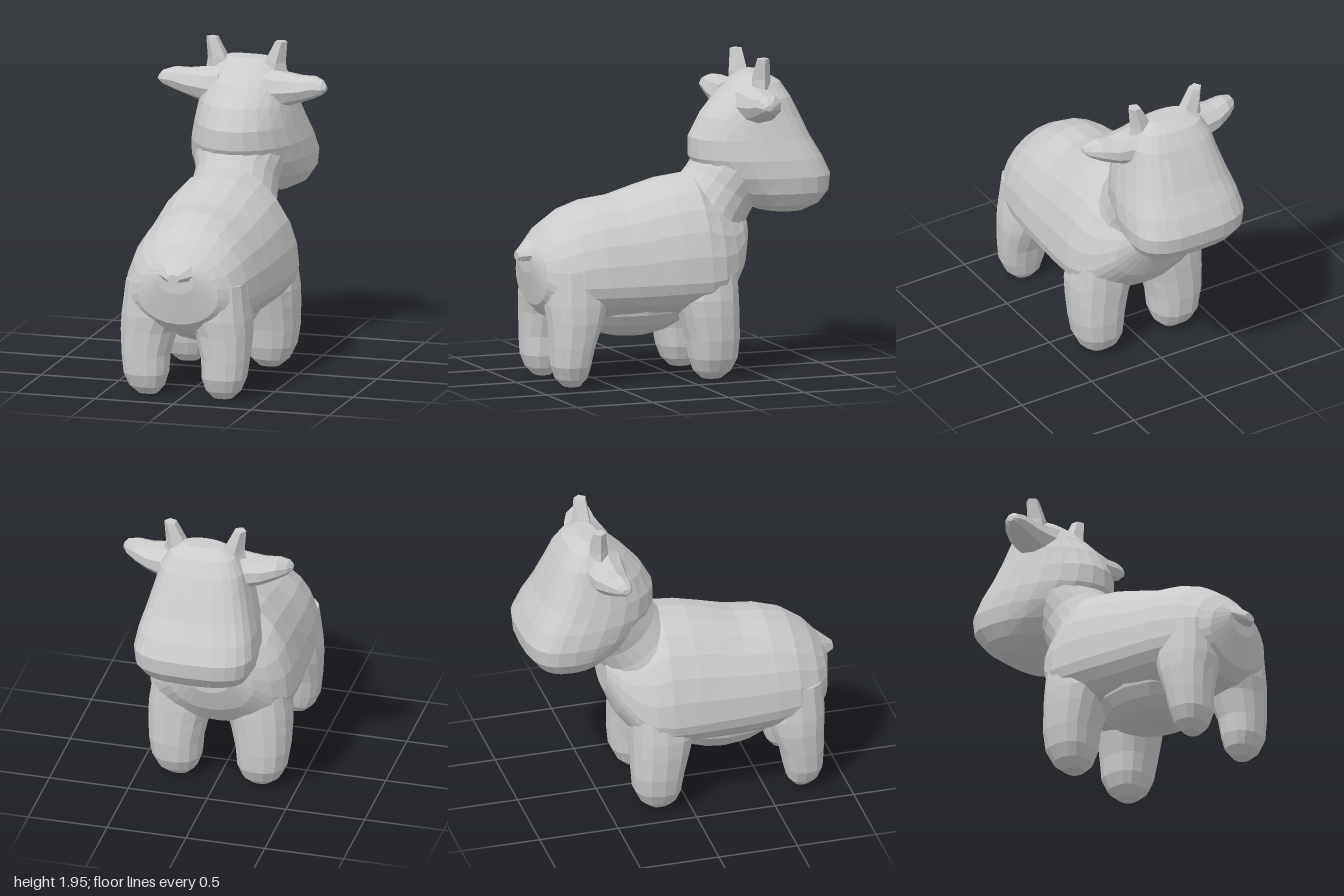
import * as THREE from 'three';

const material = new THREE.MeshStandardMaterial({ color: 0xcccccc, flatShading: true });

// Lofts egg-shaped rings. Section: [t, centre, plus radius, minus radius, side radius, side offset].
// place(t, p, q) puts a point at station t, p sideways and q along the plus/minus direction.
function loft(name, sections, n, place, ePlus = 2, eMinus = 2) {
  const pos = [], index = [], m = sections.length;
  const power = (v, e) => Math.sign(v) * Math.abs(v) ** (2 / e);
  for (const [t, c, plus, minus, r, d = 0] of sections) {
    for (let i = 0; i < n; i++) {
      const a = (i / n) * Math.PI * 2, s = Math.sin(a);
      const e = s > 0 ? ePlus : eMinus;
      pos.push(...place(t, d + r * power(Math.cos(a), e), c + (s > 0 ? plus : minus) * power(s, e)));
    }
  }
  for (const k of [0, m - 1]) {
    const [t, c, plus, minus, , d = 0] = sections[k];
    pos.push(...place(t, d, c + (plus - minus) / 2));
  }
  for (let k = 0; k < m - 1; k++) {
    for (let i = 0; i < n; i++) {
      const a = k * n + i, b = k * n + (i + 1) % n;
      index.push(a, b, b + n, a, b + n, a + n);
    }
  }
  for (let i = 0; i < n; i++) {
    const j = (i + 1) % n, last = (m - 1) * n;
    index.push(m * n, j, i, m * n + 1, last + i, last + j);
  }
  // Turn the faces outward whichever way the axes were placed
  const v = (i) => new THREE.Vector3().fromArray(pos, i * 3);
  let volume = 0;
  for (let i = 0; i < index.length; i += 3) {
    volume += v(index[i]).dot(v(index[i + 1]).cross(v(index[i + 2])));
  }
  if (volume < 0) index.reverse();
  const geometry = new THREE.BufferGeometry();
  geometry.setAttribute('position', new THREE.Float32BufferAttribute(pos, 3));
  geometry.setIndex(index);
  geometry.computeVertexNormals();
  const mesh = new THREE.Mesh(geometry, material);
  mesh.name = name;
  return mesh;
}

const alongZ = (t, p, q) => [p, q, t];
const alongY = (s) => (t, p, q) => [s * p, t, q];
const alongX = (s) => (t, p, q) => [s * t, q, p];

export function createModel() {
  const group = new THREE.Group();

  // Body: widest low down, rounded at rump and chest
  group.add(loft('body', [
    [0.94, 0.76, 0.09, 0.08, 0.12],
    [0.90, 0.66, 0.23, 0.18, 0.26],
    [0.83, 0.62, 0.35, 0.21, 0.34],
    [0.70, 0.62, 0.44, 0.24, 0.395],
    [0.55, 0.62, 0.49, 0.25, 0.42],
    [0.37, 0.62, 0.51, 0.26, 0.435],
    [0.20, 0.62, 0.56, 0.26, 0.445],
    [0.05, 0.62, 0.60, 0.25, 0.455],
    [-0.12, 0.62, 0.62, 0.24, 0.455],
    [-0.22, 0.63, 0.53, 0.23, 0.435],
    [-0.32, 0.67, 0.41, 0.21, 0.37],
    [-0.41, 0.76, 0.27, 0.18, 0.27],
    [-0.47, 0.85, 0.15, 0.12, 0.15],
  ], 24, alongZ));

  // Belly hanging between the legs
  const belly = new THREE.Mesh(new THREE.SphereGeometry(1, 14, 10), material);
  belly.name = 'belly';
  belly.scale.set(0.33, 0.24, 0.42);
  belly.position.set(0, 0.49, 0.26);
  group.add(belly);

  // Neck leaning forward
  group.add(loft('neck', [
    [-0.20, 0, 0.28, 0.27, 0.30],
    [-0.08, 0, 0.25, 0.25, 0.27],
    [0.03, 0, 0.24, 0.24, 0.26],
    [0.16, 0, 0.24, 0.24, 0.29],
  ], 20, (t, p, q) => [p, 1.11 + 0.81 * t + 0.58 * q, -0.32 - 0.58 * t + 0.81 * q]));

  // Head: rounded behind, broad square muzzle in front
  group.add(loft('head', [
    [1.84, -0.56, 0.06, 0.06, 0.13],
    [1.79, -0.56, 0.13, 0.14, 0.21],
    [1.70, -0.56, 0.23, 0.20, 0.265],
    [1.58, -0.57, 0.35, 0.25, 0.295],
    [1.45, -0.62, 0.47, 0.26, 0.33],
    [1.33, -0.68, 0.53, 0.27, 0.365],
    [1.22, -0.73, 0.52, 0.27, 0.382],
    [1.12, -0.74, 0.42, 0.25, 0.37],
    [1.04, -0.73, 0.29, 0.20, 0.32],
    [0.99, -0.72, 0.15, 0.13, 0.22],
  ], 24, alongY(1), 2, 3));

  // Tail stub
  group.add(loft('tail', [
    [0.84, 0.86, 0.07, 0.10, 0.18],
    [0.94, 0.80, 0.06, 0.05, 0.11],
    [1.00, 0.785, 0.03, 0.025, 0.04],
  ], 8, alongZ));

  for (const s of [1, -1]) {
    const side = s > 0 ? 'left' : 'right';

    group.add(loft(side + 'FrontLeg', [
      [0.70, -0.17, 0.15, 0.17, 0.17, 0.25],
      [0.50, -0.17, 0.22, 0.18, 0.205, 0.245],
      [0.40, -0.17, 0.19, 0.18, 0.19, 0.262],
      [0.25, -0.18, 0.16, 0.17, 0.17, 0.275],
      [0.13, -0.18, 0.14, 0.16, 0.155, 0.27],
      [0.05, -0.18, 0.11, 0.12, 0.12, 0.265],
      [0.00, -0.18, 0.06, 0.06, 0.065, 0.26],
    ], 14, alongY(s), 2.4, 2.4));

    group.add(loft(side + 'HindLeg', [
      [0.72, 0.70, 0.17, 0.17, 0.16, 0.22],
      [0.50, 0.70, 0.185, 0.20, 0.20, 0.21],
      [0.40, 0.70, 0.175, 0.16, 0.175, 0.24],
      [0.25, 0.72, 0.15, 0.12, 0.15, 0.255],
      [0.13, 0.735, 0.13, 0.11, 0.14, 0.25],
      [0.05, 0.735, 0.10, 0.09, 0.11, 0.245],
      [0.00, 0.735, 0.05, 0.05, 0.06, 0.24],
    ], 14, alongY(s), 2.4, 2.4));

    group.add(loft(side + 'Ear', [
      [0.14, 1.65, 0.14, 0.14, 0.15, -0.51],
      [0.26, 1.66, 0.11, 0.11, 0.125, -0.505],
      [0.36, 1.67, 0.085, 0.085, 0.11, -0.50],
      [0.45, 1.69, 0.07, 0.07, 0.085, -0.485],
      [0.51, 1.69, 0.05, 0.04, 0.055, -0.465],
      [0.535, 1.69, 0.02, 0.015, 0.025, -0.455],
    ], 9, alongX(s)));

    group.add(loft(side + 'Horn', [
      [1.72, -0.54, 0.07, 0.07, 0.10, 0.165],
      [1.82, -0.54, 0.06, 0.06, 0.07, 0.18],
      [1.95, -0.54, 0.04, 0.04, 0.04, 0.22],
    ], 5, alongY(s)));
  }
  return group;
}
